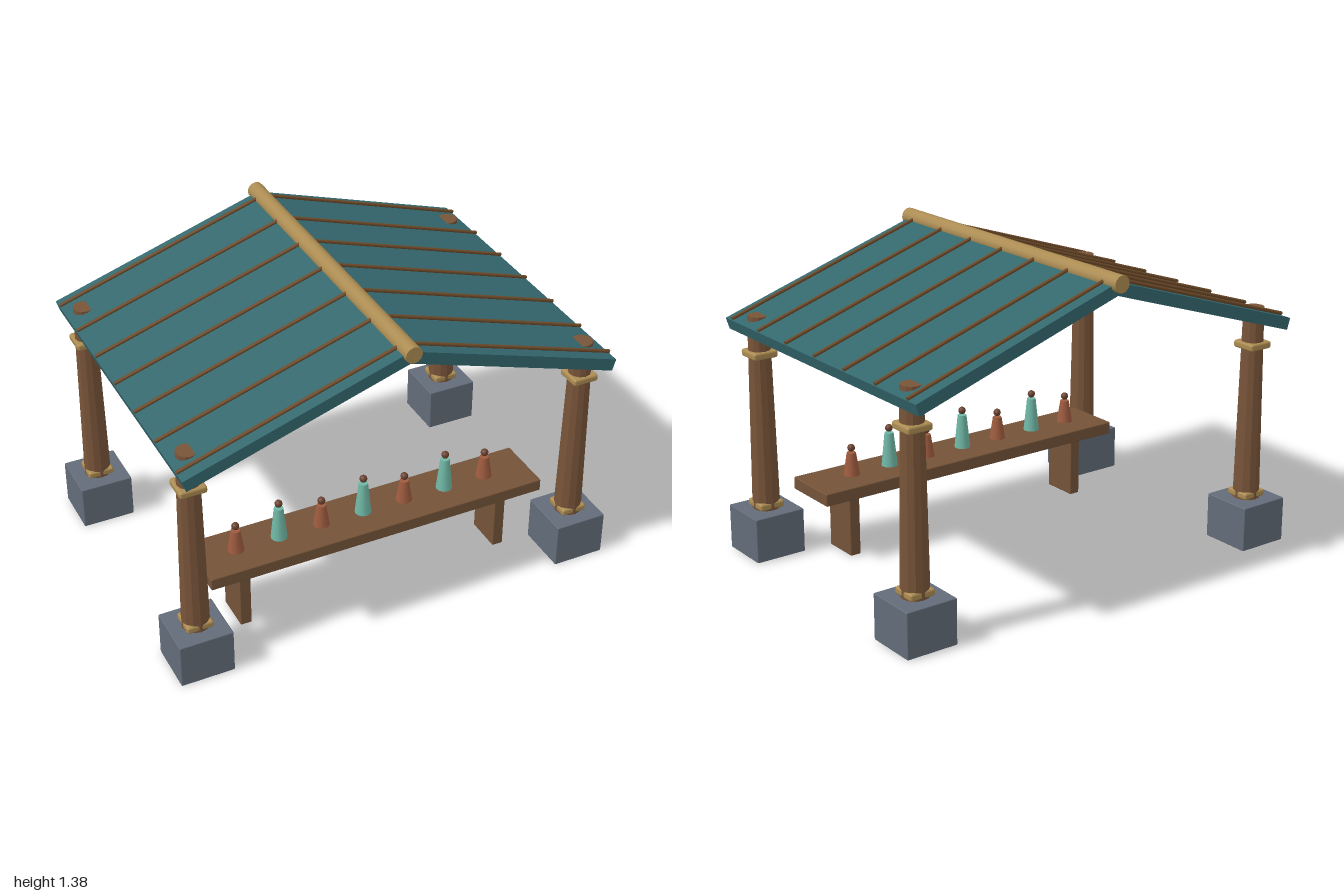
import * as THREE from 'three';
import { RoundedBoxGeometry } from 'three/addons/geometries/RoundedBoxGeometry.js';

function mat(name, color, flat = false) {
  const m = new THREE.MeshStandardMaterial({ color });
  m.name = name;
  m.flatShading = flat;
  return m;
}

export function createModel() {
  const stone = mat('stone', 0x626c78);
  const postWood = mat('post wood', 0x785439, true);
  const benchWood = mat('bench wood', 0x745338);
  const battenWood = mat('batten wood', 0x704c2a);
  const rope = mat('gold rope', 0xac8c52);
  const roofTeal = mat('roof teal', 0x34686e);
  const clay = mat('clay', 0x9e5b3e);
  const mint = mat('mint glaze', 0x70b8a6);
  const stopper = mat('dark stopper', 0x6a412e);

  const model = new THREE.Group();
  model.name = 'marketShelter';

  function add(parent, name, geometry, material, x = 0, y = 0, z = 0) {
    const mesh = new THREE.Mesh(geometry, material);
    mesh.name = name;
    mesh.position.set(x, y, z);
    parent.add(mesh);
    return mesh;
  }
  const block = (w, h, d, r) => new RoundedBoxGeometry(w, h, d, 2, r);

  // Four tapered posts on stone footings, each with two square collars
  const footing = block(0.235, 0.2, 0.235, 0.004);
  const post = new THREE.CylinderGeometry(0.046, 0.06, 0.868, 12);
  const collar = block(0.116, 0.032, 0.116, 0.01);
  for (const sx of [-1, 1]) {
    for (const sz of [-1, 1]) {
      const corner = new THREE.Group();
      corner.name = (sz > 0 ? 'front' : 'back') + (sx > 0 ? 'Left' : 'Right') + 'Post';
      corner.position.set(sx * 0.8825, 0, sz * 0.578);
      add(corner, 'footing', footing, stone, 0, 0.1, 0);
      add(corner, 'post', post, postWood, 0, 0.634, 0);
      add(corner, 'lowerCollar', collar, rope, 0, 0.22, 0);
      add(corner, 'upperCollar', collar, rope, 0, 0.901, 0);
      model.add(corner);
    }
  }

  // Gabled roof as one extruded chevron
  const profile = new THREE.Shape([
    [0, 1.346], [-0.96, 1.036], [-0.944, 0.986], [0, 1.291], [0.944, 0.986], [0.96, 1.036],
  ].map(([x, y]) => new THREE.Vector2(x, y)));
  const roof = new THREE.ExtrudeGeometry(profile, { depth: 1.44, bevelEnabled: false });
  add(model, 'roof', roof, roofTeal, 0, 0, -0.72);

  // Ridge pole
  const ridge = new THREE.CylinderGeometry(0.037, 0.037, 1.49, 12).rotateX(Math.PI / 2);
  add(model, 'ridgePole', ridge, rope, 0, 1.343, 0);

  // Seven battens down each slope
  const slope = Math.atan2(0.31, 0.96);
  const batten = new THREE.CylinderGeometry(0.008, 0.008, 1.005, 8).rotateZ(Math.PI / 2);
  for (const side of [-1, 1]) {
    for (let i = -3; i <= 3; i++) {
      const b = add(model, 'batten', batten, battenWood, side * 0.482, 1.199, i * 0.2215);
      b.rotation.z = -side * slope;
    }
  }

  // Bench
  const bench = new THREE.Group();
  bench.name = 'bench';
  bench.position.z = 0.374;
  model.add(bench);
  add(bench, 'benchTop', block(1.56, 0.056, 0.27, 0.005), benchWood, 0, 0.308, 0);
  for (const side of [-1, 1]) {
    add(bench, 'benchLeg', block(0.05, 0.282, 0.168, 0.004), benchWood, side * 0.61, 0.141, 0);
  }

  // Row of bottles, alternating short clay and tall mint
  const ball = new THREE.SphereGeometry(0.017, 12, 8);
  for (let i = 0; i < 7; i++) {
    const tall = i % 2 === 1;
    const h = tall ? 0.152 : 0.102;
    const bottle = new THREE.Group();
    bottle.name = tall ? 'tallBottle' : 'shortBottle';
    bottle.position.set(-0.611 + i * 0.1965, 0.34, 0);
    add(bottle, 'body', new THREE.CylinderGeometry(0.02, 0.036, h, 12), tall ? mint : clay, 0, h / 2, 0);
    add(bottle, 'stopper', ball, stopper, 0, h + 0.021, 0);
    bench.add(bottle);
  }

  return model;
}
